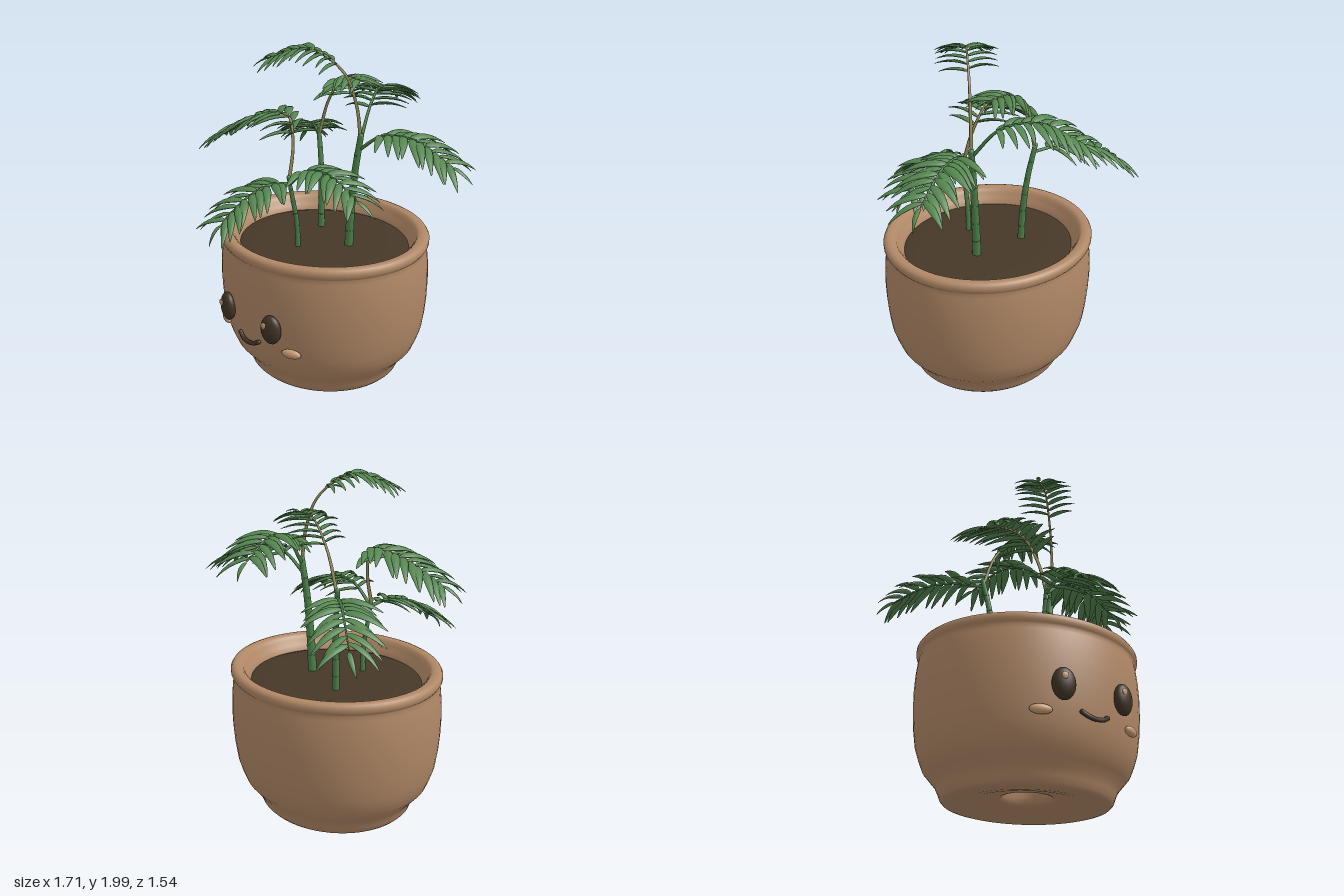
import * as THREE from 'three';
import { mergeGeometries } from 'three/addons/utils/BufferGeometryUtils.js';

const V = (x, y, z) => new THREE.Vector3(x, y, z);
const curve = pts => new THREE.CatmullRomCurve3(pts.map(p => V(...p)));
const UP = V(0, 1, 0);

// Sickle-shaped leaflet along +z, one unit long, rising and then drooping to a point
function leafGeometry(bend) {
  const g = new THREE.SphereGeometry(1, 8, 9).rotateX(Math.PI / 2);
  const p = g.attributes.position;
  for (let i = 0; i < p.count; i++) {
    const t = (p.getZ(i) + 1) / 2;
    const taper = 1.15 - 0.75 * t;
    p.setXYZ(i, p.getX(i) * 0.13 * taper + bend * t * t, p.getY(i) * 0.05 * taper + 0.2 * t - 0.42 * t * t, t);
  }
  g.computeVertexNormals();
  return g;
}

// Tube that narrows from radius r0 to r1
function taperedTube(c, r0, r1, segments, sides) {
  const g = new THREE.TubeGeometry(c, segments, r0, sides);
  const p = g.attributes.position;
  for (let i = 0; i < p.count; i++) {
    const t = Math.floor(i / (sides + 1)) / segments;
    const v = V(0, 0, 0).fromBufferAttribute(p, i).lerp(c.getPointAt(t), t * (1 - r1 / r0));
    p.setXYZ(i, v.x, v.y, v.z);
  }
  return g;
}

export function createModel() {
  const mat = (name, color) => Object.assign(new THREE.MeshStandardMaterial({ color }), { name });
  const clay = mat('clay', 0xb08866);
  const soilMat = mat('soil', 0x463827);
  const dark = mat('face dark', 0x403426);
  const blush = mat('blush', 0xc79b75);
  const leafMat = mat('leaf green', 0x558650);
  const stemMat = mat('stem green', 0x4c8049);
  const twig = mat('twig', 0x96905a);

  const root = new THREE.Group();
  root.name = 'pottedPalm';
  const add = (name, geo, material, parent = root) => {
    const m = new THREE.Mesh(geo, material);
    m.name = name;
    parent.add(m);
    return m;
  };

  // Oval hollow pot: open drain hole, foot, belly, rolled rim, inner wall and floor
  const profile = [
    [0.126, 0.12], [0.13, 0.09], [0.137, 0.065], [0.15, 0.05], [0.175, 0.043],
    [0.22, 0.036], [0.28, 0.023], [0.34, 0.01], [0.4, 0.002], [0.44, 0.004], [0.468, 0.012],
    [0.484, 0.028], [0.496, 0.06], [0.515, 0.1],
    [0.55, 0.14], [0.585, 0.18], [0.61, 0.24], [0.63, 0.3], [0.645, 0.4], [0.653, 0.5],
    [0.656, 0.6], [0.652, 0.7], [0.642, 0.79], [0.635, 0.815], [0.645, 0.825], [0.654, 0.84],
    [0.654, 0.862], [0.643, 0.878], [0.625, 0.884], [0.595, 0.882], [0.578, 0.87],
    [0.568, 0.85], [0.55, 0.82], [0.53, 0.79], [0.52, 0.74], [0.52, 0.3], [0.42, 0.13], [0.126, 0.12],
  ].map(p => new THREE.Vector2(...p));
  const pot = new THREE.Group();
  pot.name = 'pot';
  pot.position.set(-0.065, 0, -0.033);
  pot.scale.z = 0.915;
  root.add(pot);
  add('potBody', new THREE.LatheGeometry(profile, 64), clay, pot);
  add('soil', new THREE.LatheGeometry(
    [[0.535, 0.785], [0.5, 0.795], [0.35, 0.8], [0, 0.803]].map(p => new THREE.Vector2(...p)), 40), soilMat, pot);

  // Face
  const face = new THREE.Group();
  face.name = 'face';
  face.position.x = -0.065;
  root.add(face);
  const blob = (name, m, pos, size, turn = 0) => {
    const b = add(name, new THREE.SphereGeometry(1, 24, 16), m, face);
    b.position.set(...pos);
    b.scale.set(...size);
    b.rotation.y = turn;
  };
  for (const s of [-1, 1]) {
    blob('eye', dark, [s * 0.195, 0.483, 0.557], [0.065, 0.088, 0.04], s * 0.25);
    blob('eyeGlint', blush, [s * 0.195 - 0.018, 0.513, 0.593], [0.02, 0.02, 0.008], s * 0.25);
    blob('cheek', blush, [s * 0.295, 0.345, 0.497], [0.06, 0.027, 0.022], s * 0.4);
  }
  const smile = curve([[-0.083, 0.357, 0.558], [-0.045, 0.337, 0.568], [0, 0.33, 0.57], [0.045, 0.337, 0.568], [0.083, 0.357, 0.558]]);
  add('mouth', new THREE.TubeGeometry(smile, 24, 0.013, 8), dark, face);
  for (const s of [-1, 1]) blob('mouthEnd', dark, [s * 0.083, 0.357, 0.558], [0.013, 0.013, 0.013]);

  // Tapering stems with slight rings at the joints
  const stems = [
    { r: 0.022, pts: [[-0.222, 0.78, -0.16], [-0.228, 1.0, -0.165], [-0.245, 1.2, -0.18], [-0.285, 1.4, -0.2]] },
    { r: 0.017, pts: [[-0.094, 0.78, 0.15], [-0.095, 0.95, 0.155], [-0.1, 1.1, 0.18], [-0.105, 1.24, 0.205]] },
    { r: 0.027, pts: [[0.1, 0.78, -0.08], [0.112, 1.0, -0.082], [0.135, 1.25, -0.088], [0.168, 1.48, -0.1]] },
  ];
  for (const { r, pts } of stems) {
    const c = curve(pts);
    add('stem', taperedTube(c, r, r * 0.65, 20, 12), stemMat);
    add('stemTip', new THREE.SphereGeometry(r * 0.65, 12, 8), stemMat).position.copy(c.getPointAt(1));
    for (let i = 1; i <= 5; i++) {
      const ring = add('stemRing', new THREE.TorusGeometry(r * (1 - 0.35 * i / 6), 0.002, 6, 16), stemMat);
      ring.position.copy(c.getPointAt(i / 6));
      ring.lookAt(ring.position.clone().add(c.getTangentAt(i / 6)));
    }
  }

  // Fronds: an arching stalk with paired leaflets and one at the tip
  const leftLeaf = leafGeometry(-0.12);
  const rightLeaf = leafGeometry(0.12);
  function frond(stalkMat, pts, start, pairs, size) {
    const c = curve(pts);
    const g = new THREE.Group();
    g.name = 'frond';
    root.add(g);
    add('stalk', taperedTube(c, 0.011, 0.004, 24, 6), stalkMat, g);
    const heading = c.getPoint(1).sub(c.getPoint(start)).setY(0).normalize();
    const side = heading.clone().cross(UP);
    const leaves = [];
    const place = (leaf, at, dir, length, roll) => {
      const z = dir.normalize();
      const x = UP.clone().cross(z).normalize().applyAxisAngle(z, roll);
      const m = new THREE.Matrix4().makeBasis(x, z.clone().cross(x), z);
      leaves.push(leaf.clone().applyMatrix4(m.scale(V(length, length, length)).setPosition(at)));
    };
    for (let i = 0; i < pairs; i++) {
      const f = i / pairs;
      const t = start + (1 - start) * f;
      const flat = c.getTangentAt(t).lerp(heading, 0.4).normalize();
      for (const s of [-1, 1]) {
        const wobble = Math.sin(i * 2.4 + s);
        const angle = 1.2 - 0.3 * f + 0.06 * wobble;
        const dir = flat.clone().multiplyScalar(Math.cos(angle)).addScaledVector(side, s * Math.sin(angle));
        dir.y += 0.08 * wobble - 0.03;
        place(s > 0 ? rightLeaf : leftLeaf, c.getPointAt(t + (s > 0 ? 0.02 : 0)), dir,
          size * (0.85 + 0.5 * f - 0.6 * f * f), -s * (0.2 + 0.15 * wobble));
      }
    }
    place(rightLeaf, c.getPointAt(1), c.getTangentAt(1), size * 0.55, 0.1);
    add('leaflets', mergeGeometries(leaves), leafMat, g);
  }

  // Left stem
  frond(stemMat, [[-0.28, 1.36, -0.2], [-0.42, 1.38, -0.29], [-0.57, 1.35, -0.39], [-0.72, 1.24, -0.48]], 0.15, 9, 0.26);
  frond(twig, [[-0.28, 1.38, -0.2], [-0.2, 1.6, -0.2], [-0.06, 1.76, -0.19], [0.1, 1.77, -0.17]], 0.45, 9, 0.21);
  // Front stem
  frond(stemMat, [[-0.105, 1.2, 0.2], [-0.12, 1.22, 0.32], [-0.14, 1.17, 0.5], [-0.15, 1.06, 0.66]], 0.12, 9, 0.24);
  frond(stemMat, [[-0.1, 1.2, 0.2], [0.04, 1.31, 0.19], [0.22, 1.32, 0.18], [0.41, 1.23, 0.17]], 0.22, 9, 0.24);
  frond(twig, [[-0.105, 1.22, 0.2], [-0.125, 1.42, 0.15], [-0.2, 1.57, 0.12], [-0.38, 1.54, 0.19], [-0.59, 1.41, 0.29]], 0.32, 12, 0.26);
  // Right stem
  frond(twig, [[0.167, 1.46, -0.1], [0.15, 1.66, -0.08], [0.1, 1.84, -0.03], [-0.03, 1.97, 0.1], [-0.18, 1.92, 0.24]], 0.55, 9, 0.21);
  frond(stemMat, [[0.16, 1.4, -0.1], [0.3, 1.5, -0.13], [0.5, 1.51, -0.18], [0.72, 1.4, -0.235]], 0.25, 10, 0.25);
  frond(stemMat, [[0.165, 1.45, -0.1], [0.1, 1.63, -0.25], [0.0, 1.68, -0.44], [-0.09, 1.59, -0.65]], 0.3, 10, 0.24);

  return root;
}
